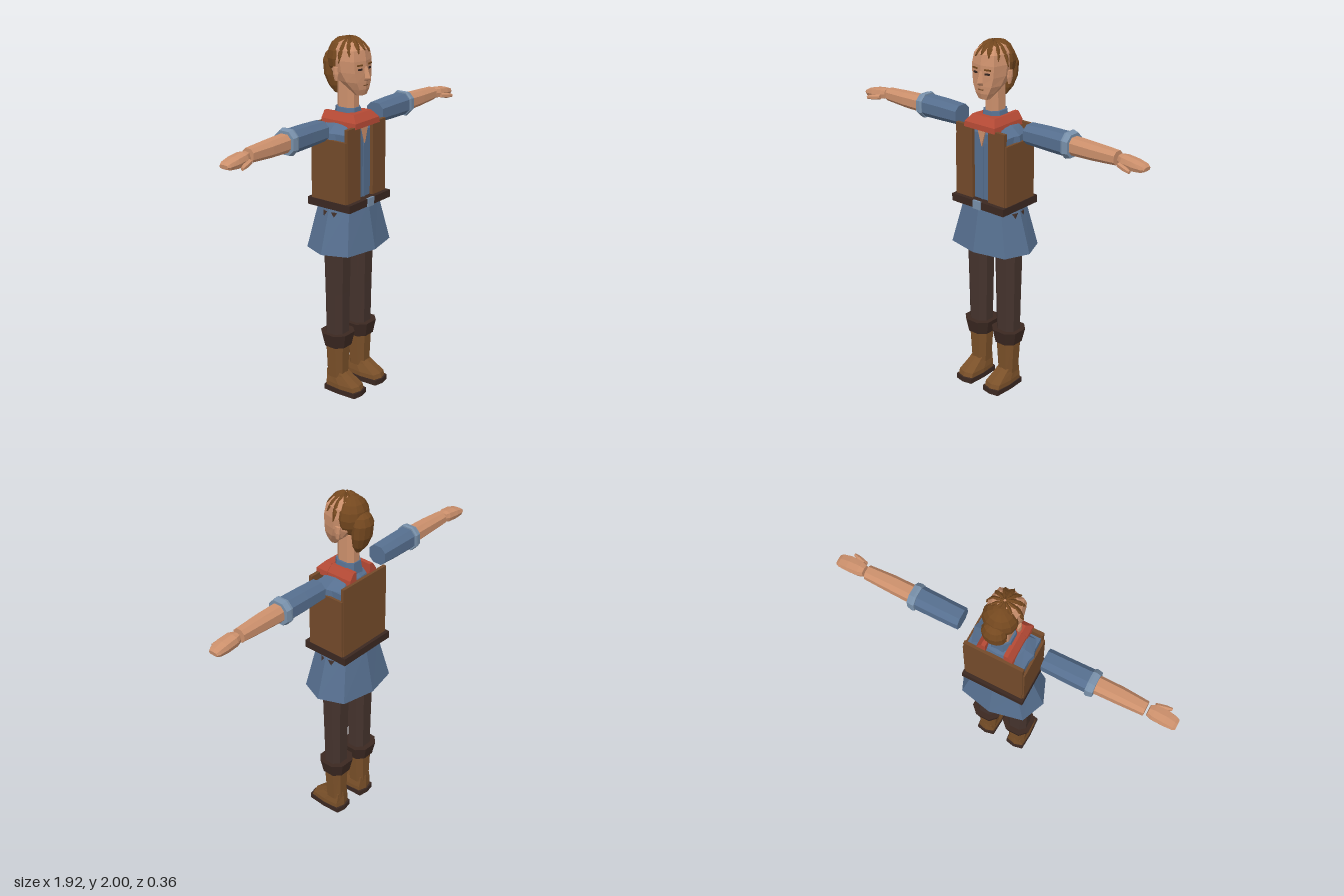
import * as THREE from 'three';

const mat = (name, color) => {
  const m = new THREE.MeshStandardMaterial({ color, flatShading: true, side: THREE.DoubleSide });
  m.name = name;
  return m;
};

// Closed loft through upright rings [y, halfWidth, zFront, zBack]; p below 1 makes the outline boxier.
function loft(rings, { n = 8, p = 1, turn = 0, caps = true } = {}) {
  const bend = v => Math.sign(v) * Math.pow(Math.abs(v) < 1e-6 ? 0 : Math.abs(v), p);
  const pts = rings.map(([y, rx, zf, zb]) => Array.from({ length: n }, (_, i) => {
    const a = (i / n) * Math.PI * 2 + turn;
    return [rx * bend(Math.cos(a)), y, (zf + zb) / 2 + (zf - zb) / 2 * bend(Math.sin(a))];
  }));
  const pos = [];
  const tri = (...v) => v.forEach(q => pos.push(...q));
  for (let i = 0; i < n; i++) {
    const j = (i + 1) % n;
    for (let k = 0; k < pts.length - 1; k++) {
      const b = pts[k], t = pts[k + 1];
      tri(b[j], b[i], t[i]);
      tri(b[j], t[i], t[j]);
    }
    if (caps) {
      const mid = r => [0, r[0], (r[2] + r[3]) / 2];
      const last = pts.length - 1;
      tri(mid(rings[0]), pts[0][i], pts[0][j]);
      tri(mid(rings[last]), pts[last][j], pts[last][i]);
    }
  }
  return fromPositions(pos);
}

function fromPositions(pos) {
  const g = new THREE.BufferGeometry();
  g.setAttribute('position', new THREE.Float32BufferAttribute(pos, 3));
  g.computeVertexNormals();
  return g;
}

// Mirror across x = 0, keeping faces outward
function mirror(geo) {
  const src = (geo.index ? geo.toNonIndexed() : geo).attributes.position;
  const pos = [];
  for (let i = 0; i < src.count; i += 3)
    for (const k of [i, i + 2, i + 1]) pos.push(-src.getX(k), src.getY(k), src.getZ(k));
  return fromPositions(pos);
}

const box = (w, h, d, x, y, z, ry = 0) =>
  new THREE.BoxGeometry(w, h, d).rotateY(ry).translate(x, y, z);

// Tapered hair lock lying on the scalp, with a raised centre ridge
function lock(angle, end, width) {
  const rows = [];
  for (let k = 0; k <= 5; k++) {
    const t = k / 5, polar = 0.06 + (end - 0.06) * t;
    const w = width * (0.25 + 1.5 * t) * (1 - Math.pow(t, 3));
    const at = (side, r) => {
      const s = Math.sin(polar);
      return [
        r * 0.097 * s * Math.sin(angle) + side * w * Math.cos(angle),
        1.86 + r * 0.132 * Math.cos(polar),
        0.01 + r * 0.112 * s * Math.cos(angle) - side * w * Math.sin(angle)];
    };
    rows.push([at(-1, 1.0), at(0, 1.07), at(1, 1.0)]);
  }
  const pos = [];
  for (let k = 0; k < 5; k++)
    for (let s = 0; s < 2; s++) {
      const a = rows[k], b = rows[k + 1];
      pos.push(...a[s], ...b[s], ...b[s + 1], ...a[s], ...b[s + 1], ...a[s + 1]);
    }
  return fromPositions(pos);
}

export function createModel() {
  const skin = mat('skin', 0xcc906c), shirt = mat('shirt blue', 0x566f8f), pale = mat('pale blue', 0x7890aa);
  const vest = mat('vest brown', 0x734a2a), dark = mat('dark leather', 0x3b2821), cloth = mat('trouser brown', 0x45332d);
  const red = mat('scarf red', 0xb54a35), boot = mat('boot brown', 0x7a5029), hair = mat('hair brown', 0x74481f);
  const eye = mat('eye dark', 0x33241f);

  const model = new THREE.Group();
  const add = (name, geo, m) => {
    const mesh = new THREE.Mesh(geo, m);
    mesh.name = name;
    model.add(mesh);
  };
  const pair = (name, geo, m) => {
    add(name + 'Left', geo, m);
    add(name + 'Right', mirror(geo), m);
  };

  // Legs and boots
  const leg = (name, rings, m, opt) => pair(name, loft(rings, opt).translate(0.1, 0, 0), m);
  const oct = { turn: Math.PI / 8, p: 0.8 };
  leg('trouserLeg', [[0.3, 0.064, 0.058, -0.058], [0.6, 0.07, 0.063, -0.063], [1.08, 0.08, 0.075, -0.075]], cloth, oct);
  leg('bootCuff', [[0.28, 0.074, 0.074, -0.074], [0.36, 0.092, 0.09, -0.092]], dark, oct);
  leg('bootShaft', [[0.09, 0.054, 0.055, -0.055], [0.3, 0.068, 0.063, -0.063]], boot, oct);
  leg('bootFoot', [[0.028, 0.058, 0.16, -0.058], [0.055, 0.058, 0.15, -0.058],
    [0.1, 0.047, 0.075, -0.056], [0.125, 0.044, 0.04, -0.055]], boot, { p: 0.45 });
  leg('sole', [[0, 0.061, 0.167, -0.066], [0.03, 0.061, 0.167, -0.066]], dark, { p: 0.3 });

  // Flared tunic skirt, open below
  add('skirt', loft([[0.855, 0.246, 0.18, -0.18], [1.12, 0.168, 0.132, -0.13]], { p: 0.75, caps: false }), shirt);
  add('waist', loft([[1.06, 0.16, 0.12, -0.12], [1.11, 0.16, 0.12, -0.12]], { p: 0.75 }), shirt);

  // Shirt body, shoulders and collar
  add('shirtBody', box(0.32, 0.4, 0.196, 0, 1.31, 0), shirt);
  add('shoulders', loft([[1.46, 0.174, 0.102, -0.102], [1.51, 0.17, 0.1, -0.1],
    [1.545, 0.12, 0.08, -0.09], [1.565, 0.07, 0.06, -0.07]], { p: 0.5 }), shirt);
  add('collar', loft([[1.54, 0.075, 0.075, -0.08], [1.625, 0.058, 0.062, -0.07]], oct), shirt);
  add('placket', box(0.012, 0.3, 0.008, 0, 1.29, 0.1), shirt);

  // Open neckline
  const vee = new THREE.Shape([[-0.032, 1.55], [0, 1.44], [0.032, 1.55]].map(q => new THREE.Vector2(...q)));
  add('neckline', new THREE.ExtrudeGeometry(vee, { depth: 0.008, bevelEnabled: false }).translate(0, 0, 0.1), skin);

  // Boxy vest: two front panels, sides and a tall back
  pair('vestFront', box(0.112, 0.41, 0.02, 0.111, 1.34, 0.11), vest);
  pair('vestSide', box(0.014, 0.345, 0.226, 0.17, 1.305, 0), vest);
  add('vestBack', box(0.336, 0.415, 0.018, 0, 1.342, -0.11), vest);

  // Belt and buckle
  add('belt', box(0.362, 0.042, 0.282, 0, 1.12, 0.003), dark);
  add('buckle', box(0.052, 0.048, 0.012, 0, 1.121, 0.146), pale);

  // Scarf, a sloping bar in front and one over each shoulder
  const bar = new THREE.Shape([[0.052, 1.535], [0.104, 1.535], [0.1, 1.565], [0.074, 1.602], [0.052, 1.602]]
    .map(q => new THREE.Vector2(...q)));
  pair('scarfSide', new THREE.ExtrudeGeometry(bar, { depth: 0.18, bevelEnabled: false }).translate(0, 0, -0.105), red);
  add('scarfFront', loft([[1.535, 0.106, 0.126, 0.05], [1.565, 0.103, 0.124, 0.05],
    [1.603, 0.076, 0.09, 0.045]], { n: 4, turn: Math.PI / 4, p: 0.001 }), red);

  // Arms, lofted upright and laid out along x
  const limb = (name, rings, m, opt = oct) =>
    pair(name, loft(rings, opt).rotateZ(-Math.PI / 2).translate(0, 1.54, 0), m);
  limb('sleeve', [[0.235, 0.056, 0.056, -0.06], [0.36, 0.061, 0.057, -0.062], [0.49, 0.062, 0.06, -0.062]], shirt);
  limb('sleeveCuff', [[0.482, 0.07, 0.062, -0.07], [0.495, 0.073, 0.066, -0.073], [0.523, 0.065, 0.062, -0.068]], pale);
  limb('forearm', [[0.51, 0.05, 0.045, -0.048], [0.65, 0.045, 0.045, -0.045], [0.79, 0.037, 0.036, -0.04]], skin);
  const hand = loft([[0.808, 0.026, 0.026, -0.03], [0.835, 0.031, 0.04, -0.04],
    [0.9, 0.029, 0.044, -0.042], [0.95, 0.02, 0.036, -0.038], [0.966, 0.011, 0.026, -0.03]], { p: 0.6 });
  pair('hand', hand.rotateZ(-Math.PI / 2 - 0.1).translate(0.0, 1.62, 0), skin);
  const thumb = loft([[0, 0.014, 0.014, -0.014], [0.05, 0.015, 0.014, -0.014], [0.085, 0.009, 0.008, -0.008]], { n: 6 });
  pair('thumb', thumb.rotateZ(-Math.PI / 2 - 0.15).rotateY(-0.3).translate(0.825, 1.525, 0.04), skin);

  // Neck, head and face
  add('neck', loft([[1.56, 0.047, 0.055, -0.064], [1.78, 0.045, 0.055, -0.064]], oct), skin);
  add('head', loft([[1.698, 0.032, 0.102, 0.055], [1.73, 0.053, 0.112, 0.02], [1.77, 0.077, 0.114, -0.03],
    [1.82, 0.09, 0.114, -0.075], [1.88, 0.094, 0.113, -0.09], [1.935, 0.085, 0.103, -0.09],
    [1.97, 0.06, 0.072, -0.07], [1.988, 0.025, 0.03, -0.03]], { p: 0.65 }), skin);
  add('nose', loft([[1.775, 0.016, 0.124, 0.095], [1.79, 0.019, 0.142, 0.095],
    [1.85, 0.009, 0.12, 0.1]], { n: 4 }), skin);
  pair('ear', loft([[1.775, 0.006, 0.0, -0.022], [1.81, 0.012, 0.006, -0.032],
    [1.845, 0.01, 0.003, -0.034]], { n: 6 }).translate(0.091, 0, 0), skin);
  pair('eye', box(0.026, 0.009, 0.008, 0.04, 1.838, 0.105, 0.25), eye);
  pair('brow', box(0.036, 0.008, 0.009, 0.042, 1.86, 0.104, 0.25), hair);
  add('mouth', box(0.032, 0.005, 0.008, 0, 1.752, 0.11), vest);

  // Hair: back of the scalp, hanging bun and locks radiating from the crown
  add('hairBack', new THREE.SphereGeometry(1, 12, 8).scale(0.093, 0.108, 0.082).translate(0, 1.885, -0.035), hair);
  add('bun', loft([[1.69, 0.018, -0.06, -0.085], [1.73, 0.046, -0.05, -0.118], [1.79, 0.064, -0.05, -0.144],
    [1.86, 0.066, -0.05, -0.152], [1.9, 0.052, -0.05, -0.138], [1.925, 0.025, -0.06, -0.105]], { n: 12 }), hair);
  const ends = [1.0, 1.12, 1.25, 1.5, 1.45, 1.35, 1.3];
  ends.forEach((end, i) => {
    const geo = lock(i * Math.PI / 6, end, 0.017);
    if (i === 0 || i === 6) add('hairLock', geo, hair);
    else pair('hairLock' + i, geo, hair);
  });
  return model;
}
